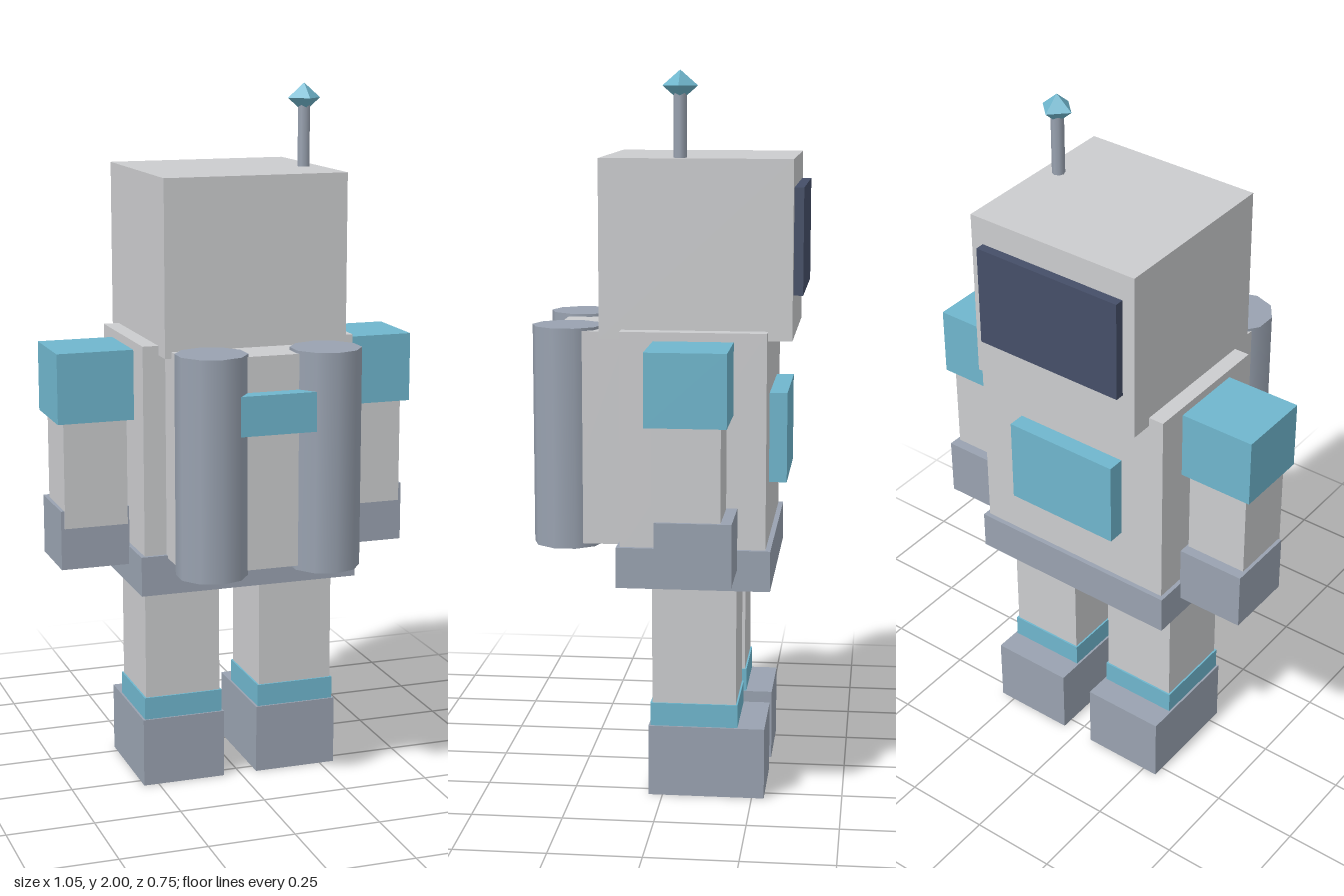
import * as THREE from 'three';

const mat = (name, color) => {
  const m = new THREE.MeshStandardMaterial({ color });
  m.name = name;
  return m;
};

export function createModel() {
  const shell = mat('light grey shell', 0xcbccce);
  const metal = mat('slate metal', 0x99a2b0);
  const accent = mat('teal accent', 0x6fb6cd);
  const glass = mat('dark glass', 0x454f68);
  const model = new THREE.Group();
  model.name = 'robot';

  const add = (parent, name, geometry, material, x = 0, y = 0, z = 0) => {
    const mesh = new THREE.Mesh(geometry, material);
    mesh.name = name;
    mesh.position.set(x, y, z);
    parent.add(mesh);
    return mesh;
  };
  // Box given by its limits on each axis
  const box = (parent, name, material, [x0, x1], [y0, y1], [z0, z1]) =>
    add(parent, name, new THREE.BoxGeometry(x1 - x0, y1 - y0, z1 - z0), material,
      (x0 + x1) / 2, (y0 + y1) / 2, (z0 + z1) / 2);
  const group = (name) => {
    const g = new THREE.Group();
    g.name = name;
    model.add(g);
    return g;
  };

  // Head with visor and antenna
  const head = group('head');
  box(head, 'skull', shell, [-0.263, 0.263], [1.28, 1.767], [-0.349, 0.176]);
  box(head, 'visor', glass, [-0.226, 0.226], [1.4, 1.69], [-0.375, -0.34]);
  add(head, 'antennaRod', new THREE.CylinderGeometry(0.018, 0.018, 0.19, 8), metal, 0.216, 1.85, -0.041);
  const tip = new THREE.OctahedronGeometry(0.048);
  tip.scale(1, 0.87, 1);
  add(head, 'antennaTip', tip, accent, 0.216, 1.958, -0.041);

  // Body
  const body = group('body');
  box(body, 'torso', shell, [-0.308, 0.308], [0.7, 1.306], [-0.284, 0.115]);
  box(body, 'chestPanel', accent, [-0.172, 0.172], [0.875, 1.125], [-0.333, -0.27]);
  box(body, 'belt', metal, [-0.32, 0.32], [0.6, 0.713], [-0.298, 0.125]);

  // Jetpack with two tanks and a strap
  const pack = group('jetpack');
  box(pack, 'packBody', shell, [-0.244, 0.244], [0.705, 1.298], [0.1, 0.312]);
  box(pack, 'packStrap', accent, [-0.14, 0.14], [1.09, 1.2], [0.3, 0.357]);

  // Paired parts
  for (const s of [1, -1]) {
    const side = s > 0 ? 'left' : 'right';
    const span = (a, b) => (s > 0 ? [a, b] : [-b, -a]);
    add(pack, side + 'Tank', new THREE.CylinderGeometry(0.099, 0.099, 0.614, 10), metal, s * 0.164, 0.999, 0.276);

    const arm = group(side + 'Arm');
    box(arm, side + 'Shoulder', accent, span(0.306, 0.526), [1.084, 1.282], [-0.195, 0.023]);
    box(arm, side + 'Forearm', shell, span(0.324, 0.506), [0.78, 1.1], [-0.178, 0.003]);
    box(arm, side + 'Hand', metal, span(0.318, 0.516), [0.66, 0.83], [-0.208, -0.003]);

    const leg = group(side + 'Leg');
    box(leg, side + 'Shin', shell, span(0.061, 0.283), [0.25, 0.61], [-0.204, 0.029]);
    box(leg, side + 'AnkleBand', accent, span(0.056, 0.288), [0.19, 0.265], [-0.209, 0.034]);
    box(leg, side + 'Foot', metal, span(0.05, 0.294), [0, 0.2], [-0.284, 0.039]);
  }
  return model;
}
